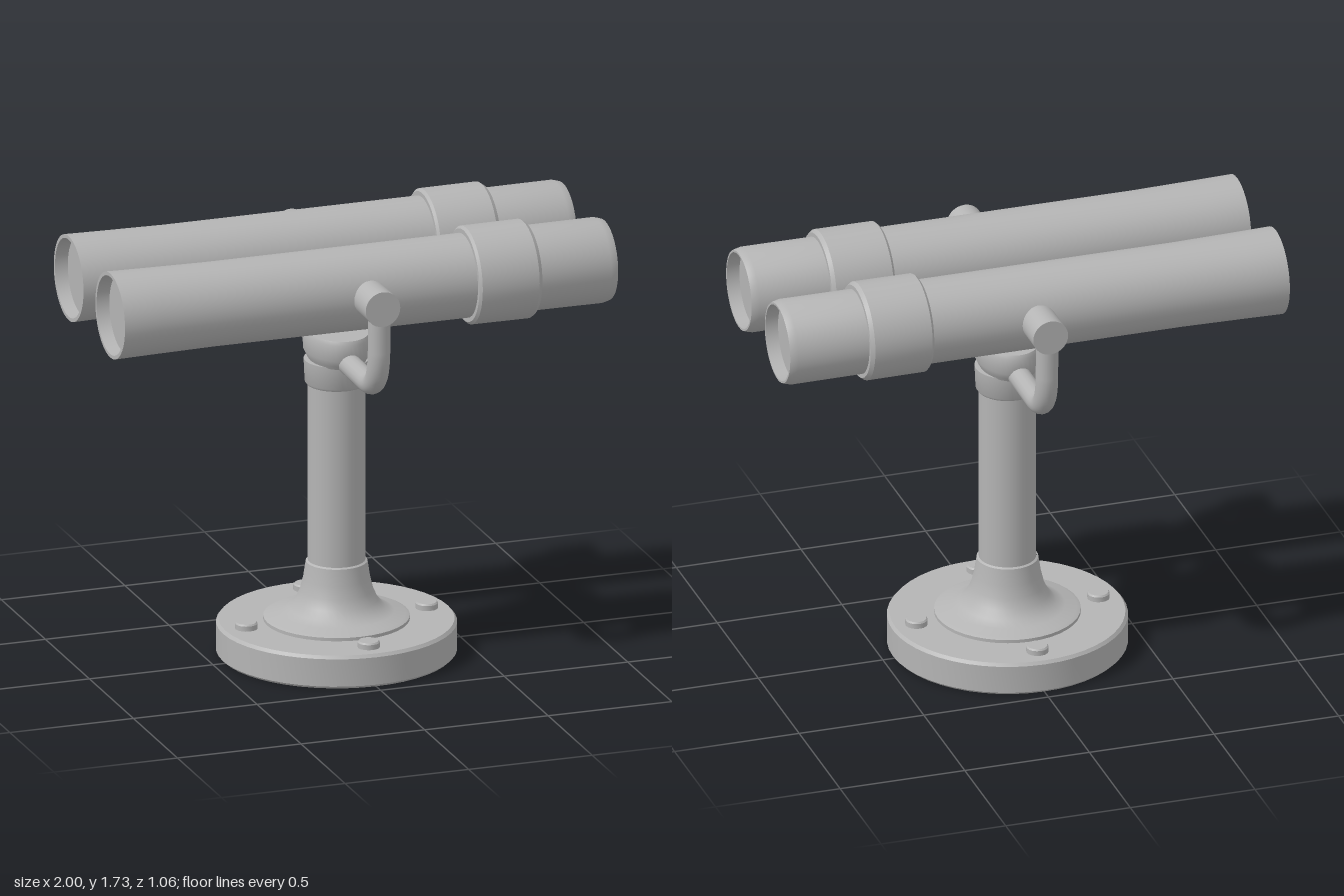
import * as THREE from 'three';
import { toCreasedNormals } from 'three/addons/utils/BufferGeometryUtils.js';

export function createModel() {
  const model = new THREE.Group();
  model.name = 'mountedBinoculars';
  const metal = new THREE.MeshStandardMaterial({ color: 0xb4b4b4 });
  metal.name = 'grey metal';

  const add = (parent, name, geometry, x = 0, y = 0, z = 0) => {
    const mesh = new THREE.Mesh(geometry, metal);
    mesh.name = name;
    mesh.position.set(x, y, z);
    parent.add(mesh);
    return mesh;
  };
  const lathe = (profile, segments = 40) => toCreasedNormals(
    new THREE.LatheGeometry(profile.map(([r, y]) => new THREE.Vector2(r, y)), segments), 0.6);

  // Round base plate with softened rims
  add(model, 'basePlate', lathe([
    [0, 0], [0.45, 0], [0.46, 0.01], [0.46, 0.12], [0.45, 0.132], [0, 0.132],
  ], 48));

  // Four bolts on the base
  for (let i = 0; i < 4; i++) {
    const a = i * Math.PI / 2;
    add(model, 'baseBolt', lathe([
      [0, 0], [0.043, 0], [0.043, 0.022], [0.038, 0.028], [0, 0.028],
    ], 16), 0.365 * Math.cos(a), 0.13, 0.365 * Math.sin(a));
  }

  // Flared foot and column
  add(model, 'flaredFoot', lathe([
    [0, 0.13], [0.28, 0.13], [0.28, 0.145], [0.265, 0.152], [0.22, 0.163], [0.185, 0.18],
    [0.158, 0.21], [0.14, 0.25], [0.128, 0.3], [0.118, 0.365], [0.11, 0.37],
  ]));
  add(model, 'column', new THREE.CylinderGeometry(0.11, 0.11, 0.75, 32, 1, true), 0, 0.72, 0);
  add(model, 'columnCollar', lathe([
    [0.1, 1.08], [0.115, 1.08], [0.122, 1.09], [0.126, 1.18], [0.1, 1.18],
  ]));

  // Oval head that carries the yoke
  const head = add(model, 'yokeHead', lathe([
    [0, 1.17], [0.142, 1.175], [0.152, 1.19], [0.168, 1.215], [0.17, 1.28], [0.162, 1.295], [0, 1.295],
  ]));
  head.scale.x = 0.73;

  // Optical tubes, turned along x
  const barrel = lathe([
    [0, -0.95], [0.15, -0.95], [0.155, -1], [0.169, -1], [0.166, -0.85], [0.162, -0.6],
    [0.163, 0.45], [0.165, 0.97], [0.16, 0.99], [0.156, 1], [0.148, 1], [0.146, 0.95], [0, 0.95],
  ]);
  const sleeve = lathe([
    [0.15, 0.43], [0.18, 0.43], [0.19, 0.44], [0.191, 0.67], [0.18, 0.685], [0.15, 0.685],
  ]);

  for (const side of [-1, 1]) {
    const tube = new THREE.Group();
    tube.name = side > 0 ? 'frontTube' : 'rearTube';
    tube.position.set(0, 1.537, side * 0.236);
    tube.rotation.z = -Math.PI / 2;
    add(tube, 'barrel', barrel);
    add(tube, 'sleeve', sleeve);
    model.add(tube);

    // Curved yoke arm and pivot hub
    const arm = new THREE.CurvePath();
    const p = (y, z) => new THREE.Vector3(0, y, side * z);
    arm.add(new THREE.LineCurve3(p(1.2, 0.1), p(1.196, 0.35)));
    arm.add(new THREE.CubicBezierCurve3(p(1.196, 0.35), p(1.196, 0.43), p(1.24, 0.474), p(1.35, 0.482)));
    arm.add(new THREE.LineCurve3(p(1.35, 0.482), p(1.52, 0.484)));
    add(model, 'yokeArm', new THREE.TubeGeometry(arm, 40, 0.043, 16, false));
    const hub = add(model, 'pivotHub',
      new THREE.CylinderGeometry(0.07, 0.07, 0.15, 28), 0, 1.54, side * 0.453);
    hub.rotation.x = Math.PI / 2;
  }

  // Hinge joining the two sleeves
  const pin = add(model, 'hingePin', lathe([
    [0, 0.44], [0.018, 0.44], [0.03, 0.46], [0.03, 0.49], [0.022, 0.5], [0.022, 0.53],
    [0.045, 0.535], [0.045, 0.56], [0.025, 0.565], [0.025, 0.585],
    [0.045, 0.59], [0.045, 0.615], [0.028, 0.62], [0.028, 0.66], [0, 0.665],
  ], 20), 0, 1.54, 0);
  pin.rotation.z = -Math.PI / 2;
  for (const [x, side] of [[0.5, 1], [0.55, -1], [0.6, 1], [0.645, -1]]) {
    add(model, 'hingeLug', new THREE.BoxGeometry(0.035, 0.1, 0.06), x, 1.54, side * 0.035);
  }
  return model;
}
